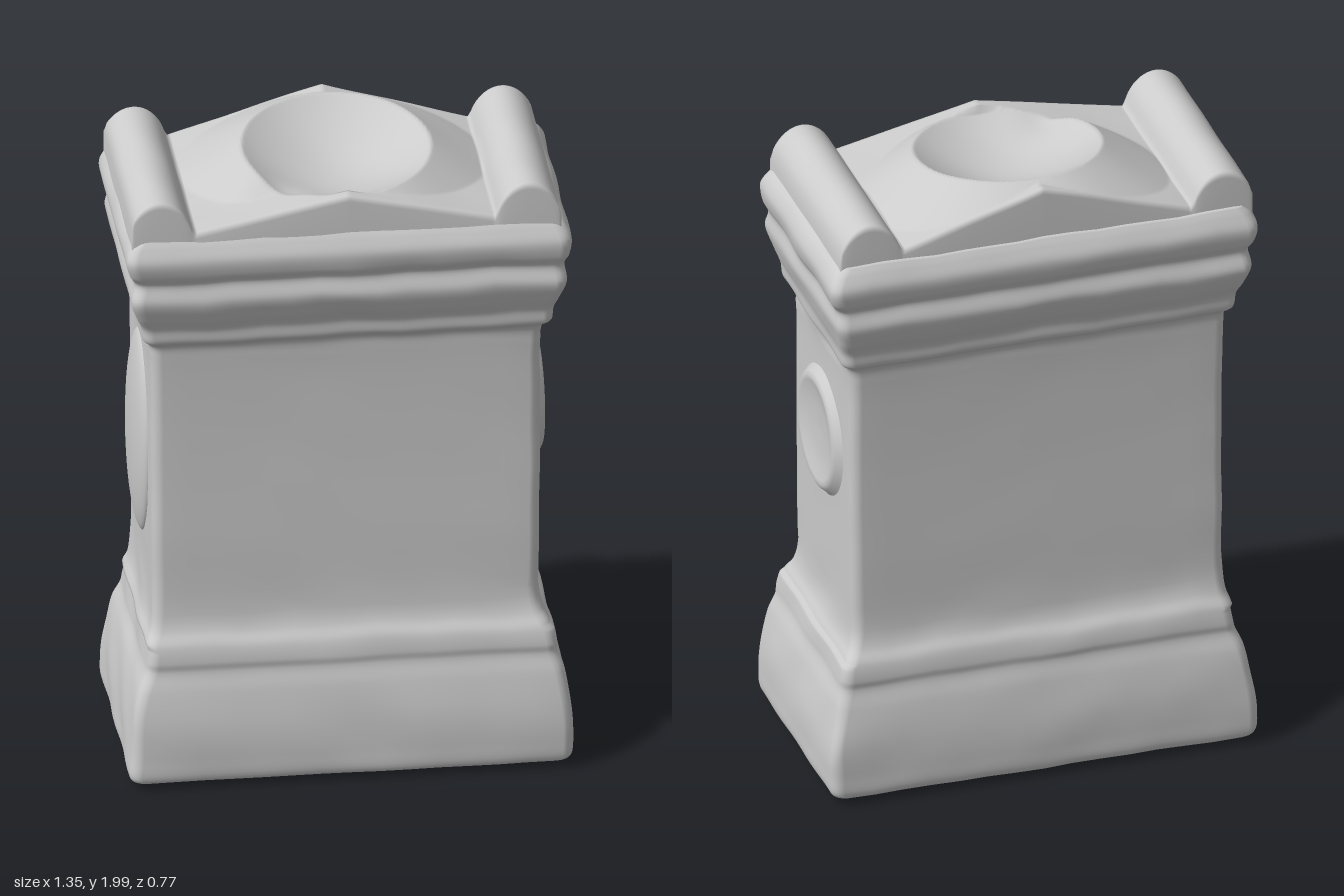
import * as THREE from 'three';

const stone = new THREE.MeshStandardMaterial({ color: 0xcccccc, roughness: 0.9 });

// Gentle, repeatable unevenness of worn stone
const wear = (a, b, c) =>
  Math.sin(a * 13 + b * 7) * Math.sin(b * 17 + c * 11 + 1) * Math.cos(c * 9 - a * 5);

function mesh(name, geometry) {
  const m = new THREE.Mesh(geometry, stone);
  m.name = name;
  return m;
}

function indexed(positions, indices) {
  const g = new THREE.BufferGeometry();
  g.setAttribute('position', new THREE.Float32BufferAttribute(positions, 3));
  g.setIndex(indices);
  g.computeVertexNormals();
  return g;
}

// Unit-direction rounded rectangle: [x, z] points, running from +x towards -z
function roundedRect(hx, hz, r, side = 14, corner = 4) {
  const pts = [];
  const corners = [[1, -1], [-1, -1], [-1, 1], [1, 1]];
  corners.forEach(([sx, sz], k) => {
    const cx = sx * (hx - r), cz = sz * (hz - r);
    for (let i = 0; i <= corner; i++) {
      const a = (k + i / corner) * Math.PI / 2;
      pts.push([cx + r * Math.cos(a), cz - r * Math.sin(a)]);
    }
    const [nx, nz] = corners[(k + 1) % 4];
    const a = (k + 1) * Math.PI / 2;
    const p = pts[pts.length - 1];
    const q = [nx * (hx - r) + r * Math.cos(a), nz * (hz - r) - r * Math.sin(a)];
    for (let i = 1; i < side; i++) {
      const t = i / side;
      pts.push([p[0] + (q[0] - p[0]) * t, p[1] + (q[1] - p[1]) * t]);
    }
  });
  return pts;
}

// Plinth, shaft and moulded cornice as one loft of (half width, height, half depth)
function bodyGeometry() {
  const profile = [
    [0.63, 0.012, 0.345], [0.665, 0.03, 0.375], [0.67, 0.1, 0.38], [0.668, 0.2, 0.375],
    [0.645, 0.31, 0.355], [0.624, 0.37, 0.338], [0.62, 0.4, 0.34], [0.612, 0.45, 0.33],
    [0.595, 0.49, 0.305], [0.587, 0.54, 0.292], [0.587, 0.8, 0.286], [0.589, 1.1, 0.282],
    [0.591, 1.38, 0.287], [0.597, 1.44, 0.294], [0.618, 1.465, 0.318], [0.625, 1.51, 0.325],
    [0.642, 1.56, 0.35], [0.656, 1.62, 0.369], [0.648, 1.675, 0.357], [0.664, 1.71, 0.373],
    [0.674, 1.76, 0.38], [0.66, 1.8, 0.362], [0.638, 1.825, 0.345],
  ].map(p => new THREE.Vector3(...p));
  const rows = new THREE.CatmullRomCurve3(profile, false, 'centripetal').getPoints(132);
  const pos = [], idx = [];
  let n = 0;
  rows.forEach(({ x: hx, y, z: hz }) => {
    const ring = roundedRect(hx, hz, 0.035);
    n = ring.length;
    // the shaft is smoother than the mouldings
    const amount = y > 0.6 && y < 1.4 ? 0.002 : 0.006;
    const shift = y < 0.45 ? 0.008 : 0;
    ring.forEach(([x, z]) => {
      const s = 1 + amount * wear(x, y, z) / 0.6;
      pos.push(x * s + shift, y + 0.006 * wear(z, x, y), z * s - 0.004);
    });
  });
  for (let j = 0; j < rows.length - 1; j++) {
    for (let i = 0; i < n; i++) {
      const a = j * n + i, b = j * n + (i + 1) % n;
      idx.push(a, b, a + n, b, b + n, a + n);
    }
  }
  // underside and hidden top
  const base = pos.length / 3, last = (rows.length - 1) * n;
  pos.push(0, 0, 0, 0, 1.825, 0);
  for (let i = 0; i < n; i++) {
    const k = (i + 1) % n;
    idx.push(base, k, i, base + 1, last + i, last + k);
  }
  return indexed(pos, idx);
}

// Height of the crown: gabled roof, side bolsters and offering bowl
function crownHeight(x, z) {
  const back = THREE.MathUtils.clamp((0.34 - z) / 0.68, 0, 1);
  const ax = Math.abs(x);
  let y = 1.94 - 0.1 * Math.min(ax / 0.47, 1)
    + 0.05 * back * back * Math.max(0, 1 - ax / 0.5);

  const d = Math.hypot(x, z - 0.015);
  const R = 0.285;
  const chip = 0.03 * Math.exp(-((x + 0.2) ** 2 + (z - 0.23) ** 2) / 0.006);
  const rim = 1.958 - 0.12 * z - chip;
  if (d < R) y = rim - 0.1 * (1 - (d / R) ** 2);
  else y = Math.max(y, rim - 0.65 * (d - R));

  const dx = (x - (x < 0 ? -0.572 : 0.545)) / 0.1;
  if (Math.abs(dx) < 1) y = Math.max(y, 1.835 + 0.112 * Math.pow(1 - dx * dx, 0.6));
  return y + 0.003 * wear(x, 1, z);
}

// Crown height field with softened edges and walls down into the cornice
function crownGeometry() {
  const nx = 150, nz = 90;
  const x0 = -0.658, x1 = 0.642, z0 = -0.342, z1 = 0.346;
  const pos = [], idx = [];
  const w = nx + 1;
  for (let j = 0; j <= nz; j++) {
    for (let i = 0; i <= nx; i++) {
      const x = x0 + (x1 - x0) * i / nx, z = z0 + (z1 - z0) * j / nz;
      const edge = Math.min(x - x0, x1 - x, z - z0, z1 - z);
      const soft = edge < 0.016 ? 0.016 * (1 - Math.sqrt(1 - (1 - edge / 0.016) ** 2)) : 0;
      pos.push(x, crownHeight(x, z) - soft, z);
      if (i < nx && j < nz) {
        const a = j * w + i;
        idx.push(a, a + w, a + 1, a + 1, a + w, a + w + 1);
      }
    }
  }
  // outer loop, running round the border
  const loop = [];
  for (let i = 0; i < nx; i++) loop.push(nz * w + i);
  for (let j = nz; j > 0; j--) loop.push(j * w + nx);
  for (let i = nx; i > 0; i--) loop.push(i);
  for (let j = 0; j < nz; j++) loop.push(j * w);
  const start = pos.length / 3, n = loop.length;
  loop.forEach(k => pos.push(pos[3 * k], 1.77, pos[3 * k + 2]));
  loop.forEach((a, i) => {
    const k = (i + 1) % n;
    idx.push(a, start + i, loop[k], loop[k], start + i, start + k);
  });
  return indexed(pos, idx);
}

export function createModel() {
  const group = new THREE.Group();
  group.name = 'stoneAltar';
  group.add(mesh('body', bodyGeometry()), mesh('crown', crownGeometry()));

  // Shallow dished roundel on the left side
  const outline = [[0, 0.008], [0.07, 0.01], [0.12, 0.015], [0.155, 0.025],
    [0.17, 0.027], [0.183, 0.02], [0.195, 0.006], [0.215, -0.01]];
  const dish = new THREE.LatheGeometry(
    outline.reverse().map(([r, h]) => new THREE.Vector2(r, h)), 48);
  dish.rotateZ(-Math.PI / 2);
  const roundel = mesh('sideRoundel', dish);
  roundel.position.set(0.588, 1.09, -0.005);
  group.add(roundel);

  // Worn roundel on the right side
  const worn = mesh('wornRoundel', new THREE.SphereGeometry(1, 40, 24));
  worn.scale.set(0.045, 0.33, 0.19);
  worn.position.set(-0.584, 1.03, -0.01);
  group.add(worn);

  return group;
}
